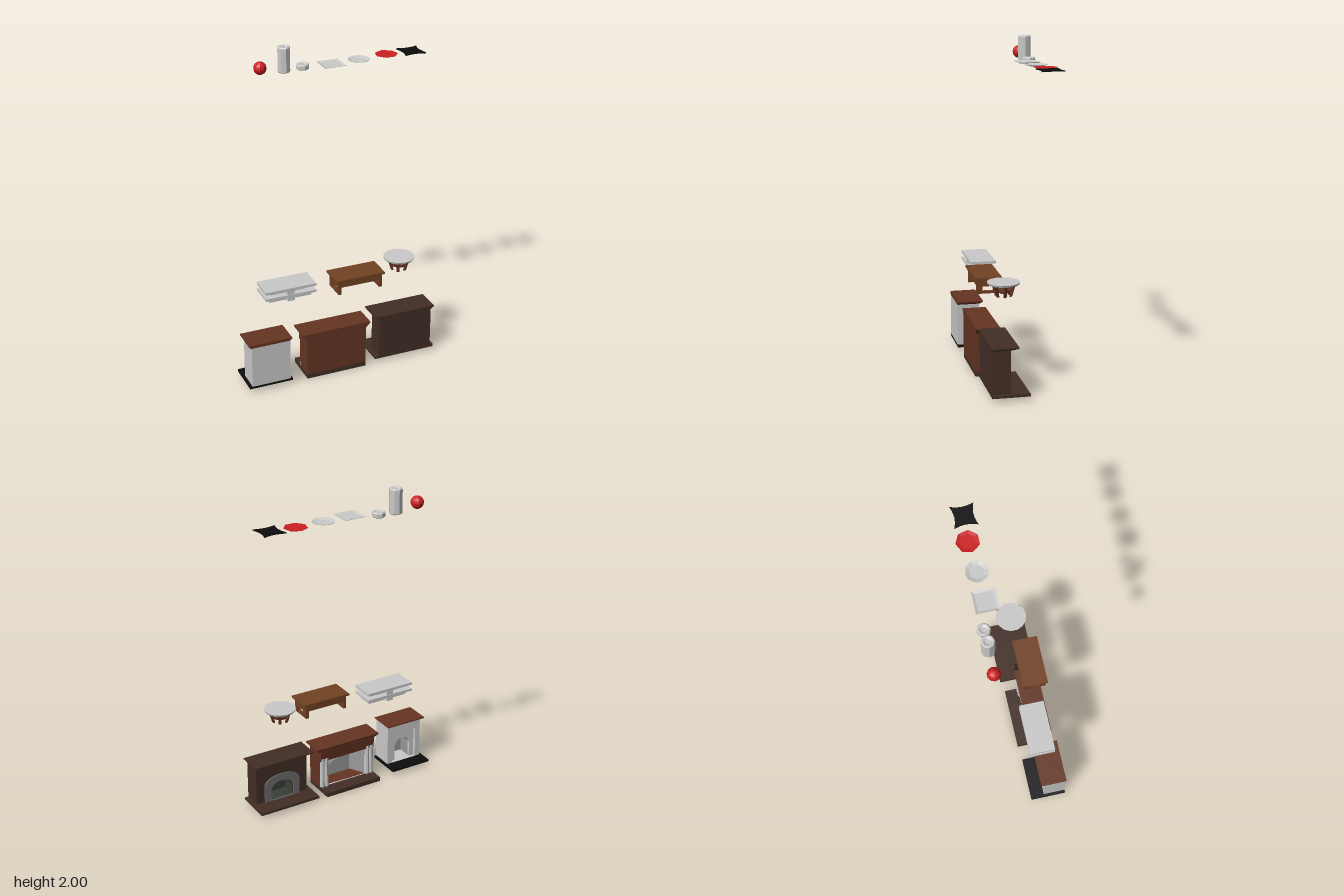
import * as THREE from 'three';

const mat = (name, color) => {
  const m = new THREE.MeshStandardMaterial({ color });
  m.name = name;
  return m;
};

export function createModel() {
  const root = new THREE.Group();
  root.name = 'furnitureSet';
  const pale = mat('paleGrey', 0xcacaca), red = mat('red', 0xcc2022), black = mat('black', 0x0d0d0d);
  const mahogany = mat('mahogany', 0x653423), darkWood = mat('darkWood', 0x422e25), oak = mat('oak', 0x724222);
  const stone = mat('stone', 0x6c6c6c), soot = mat('soot', 0x3a4038), midGrey = mat('midGrey', 0x9a9a9a);

  const group = (name) => {
    const g = new THREE.Group();
    g.name = name;
    root.add(g);
    return g;
  };
  // Adds a faceted mesh
  const add = (parent, name, geo, material) => {
    const g = geo.index ? geo.toNonIndexed() : geo;
    g.computeVertexNormals();
    const m = new THREE.Mesh(g, material);
    m.name = name;
    parent.add(m);
    return m;
  };
  // Box given by its limits
  const box = (p, name, m, x0, x1, y0, y1, z0, z1) => add(p, name,
    new THREE.BoxGeometry(x1 - x0, y1 - y0, z1 - z0).translate((x0 + x1) / 2, (y0 + y1) / 2, (z0 + z1) / 2), m);
  // Box whose bottom is drawn in at the sides and at the -z front
  const flare = (p, name, m, x0, x1, y0, y1, z0, z1, side, front) => {
    const g = new THREE.BoxGeometry(x1 - x0, y1 - y0, z1 - z0);
    const a = g.attributes.position;
    for (let i = 0; i < a.count; i++) {
      if (a.getY(i) > 0) continue;
      a.setX(i, a.getX(i) - Math.sign(a.getX(i)) * side);
      if (a.getZ(i) < 0) a.setZ(i, a.getZ(i) + front);
    }
    return add(p, name, g.translate((x0 + x1) / 2, (y0 + y1) / 2, (z0 + z1) / 2), m);
  };
  const rect = (x0, x1, y0, y1) => new THREE.Shape([
    new THREE.Vector2(x0, y0), new THREE.Vector2(x1, y0), new THREE.Vector2(x1, y1), new THREE.Vector2(x0, y1)]);
  // Doorway outline with an elliptical head
  const arch = (cx, half, y0, spring, rise) => {
    const s = new THREE.Shape();
    s.moveTo(cx - half, y0);
    s.lineTo(cx + half, y0);
    s.lineTo(cx + half, spring);
    s.absellipse(cx, spring, half, rise, 0, Math.PI, false, 0);
    s.closePath();
    return s;
  };
  // Panel from z0 to z1 with an optional opening
  const panel = (p, name, m, outer, hole, z0, z1) => {
    const s = outer.clone();
    if (hole) s.holes = [hole];
    return add(p, name, new THREE.ExtrudeGeometry(s, { depth: z1 - z0, bevelEnabled: false, curveSegments: 10 })
      .translate(0, 0, z0), m);
  };

  // Pale fireplace with stepped surround
  const a = group('paleFireplace');
  box(a, 'hearth', black, -0.63, -0.357, 0.028, 0.042, -0.005, 0.217);
  panel(a, 'body', pale, rect(-0.614, -0.37, 0.042, 0.305), rect(-0.58, -0.404, 0.043, 0.245), 0.08, 0.205);
  box(a, 'backWall', pale, -0.614, -0.37, 0.042, 0.305, 0.205, 0.217);
  panel(a, 'innerSurround', pale, rect(-0.58, -0.404, 0.042, 0.245), arch(-0.492, 0.055, 0.043, 0.14, 0.055), 0.1, 0.115);
  panel(a, 'fireboxLining', midGrey, arch(-0.492, 0.06, 0.042, 0.14, 0.06), arch(-0.492, 0.055, 0.043, 0.14, 0.055), 0.115, 0.2);
  box(a, 'fireboxBack', midGrey, -0.56, -0.424, 0.042, 0.21, 0.198, 0.204);
  flare(a, 'mantelMoulding', mahogany, -0.628, -0.359, 0.303, 0.317, 0.058, 0.217, 0.012, 0.02);
  box(a, 'mantelShelf', mahogany, -0.63, -0.357, 0.317, 0.324, 0.055, 0.217);

  // Wide fireplace with splayed firebox and columns
  const b = group('wideFireplace');
  const bx = -0.061;
  box(b, 'hearth', darkWood, -0.254, 0.132, 0, 0.028, -0.012, 0.2);
  const opening = () => arch(bx, 0.135, 0.029, 0.16, 0.05);
  panel(b, 'body', mahogany, rect(-0.254, 0.132, 0.028, 0.285), rect(bx - 0.15, bx + 0.15, 0.029, 0.22), 0.08, 0.19);
  box(b, 'backWall', mahogany, -0.254, 0.132, 0.028, 0.285, 0.19, 0.2);
  panel(b, 'archTrim', pale, rect(bx - 0.15, bx + 0.15, 0.028, 0.22), opening(), 0.074, 0.084);
  box(b, 'fireboxBack', midGrey, bx - 0.09, bx + 0.09, 0.028, 0.22, 0.178, 0.188);
  box(b, 'fireboxCeiling', midGrey, bx - 0.15, bx + 0.15, 0.212, 0.219, 0.084, 0.188);
  for (const s of [-1, 1]) {
    const wall = new THREE.Shape([[0.135, 0.084], [0.149, 0.084], [0.149, 0.188], [0.08, 0.188], [0.08, 0.18]]
      .map(([x, z]) => new THREE.Vector2(bx + s * x, -z)));
    add(b, 'fireboxSide', new THREE.ExtrudeGeometry(wall, { depth: 0.19, bevelEnabled: false })
      .rotateX(-Math.PI / 2).translate(0, 0.028, 0), midGrey);
    for (const x of [0.15, 0.177]) {
      add(b, 'column', new THREE.CylinderGeometry(0.016, 0.016, 0.2, 8)
        .translate(bx + s * x, 0.128, 0.078), pale);
    }
  }
  flare(b, 'hood', mahogany, -0.254, 0.132, 0.21, 0.285, 0.06, 0.085, 0, 0.008);
  flare(b, 'mantelMoulding', mahogany, -0.282, 0.16, 0.268, 0.298, 0.056, 0.2, 0.028, 0.02);
  box(b, 'mantelShelf', mahogany, -0.283, 0.161, 0.298, 0.306, 0.055, 0.2);

  // Dark fireplace with arched stone surround
  const c = group('darkFireplace');
  box(c, 'hearth', darkWood, 0.2, 0.6, 0.024, 0.04, -0.03, 0.192);
  const mouth = () => arch(0.402, 0.078, 0.041, 0.105, 0.06);
  panel(c, 'body', darkWood, rect(0.227, 0.577, 0.04, 0.305), mouth(), 0.08, 0.182);
  box(c, 'backWall', darkWood, 0.227, 0.577, 0.04, 0.305, 0.182, 0.192);
  panel(c, 'stoneSurround', stone, arch(0.402, 0.12, 0.04, 0.15, 0.06), mouth(), 0.072, 0.082);
  panel(c, 'fireboxLining', soot, mouth(), arch(0.402, 0.074, 0.042, 0.105, 0.056), 0.083, 0.18);
  box(c, 'fireboxBack', soot, 0.325, 0.479, 0.041, 0.165, 0.174, 0.181);
  flare(c, 'mantelMoulding', darkWood, 0.202, 0.598, 0.296, 0.31, 0.037, 0.192, 0.024, 0.035);
  box(c, 'mantelShelf', darkWood, 0.2, 0.6, 0.31, 0.318, 0.035, 0.192);

  // Pale two-tier table
  const t = group('tieredTable');
  box(t, 'top', pale, -0.498, -0.178, 0.61, 0.626, 0.01, 0.165);
  const ring = (name, x0, x1, z0, z1, w, y0, y1) => add(t, name, (() => {
    const s = rect(x0, x1, -z1, -z0);
    s.holes = [rect(x0 + w, x1 - w, -z1 + w, -z0 - w)];
    return new THREE.ExtrudeGeometry(s, { depth: y1 - y0, bevelEnabled: false }).rotateX(-Math.PI / 2).translate(0, y0, 0);
  })(), pale);
  ring('shelf', -0.498, -0.178, 0.01, 0.165, 0.04, 0.568, 0.583);
  ring('plinth', -0.466, -0.2, 0.04, 0.135, 0.02, 0.54, 0.57);
  for (const z of [0.014, 0.139]) box(t, 'leg', pale, -0.36, -0.316, 0.54, 0.612, z, z + 0.022);

  // Oak table with framed ends
  const o = group('oakTable');
  box(o, 'top', oak, -0.07, 0.245, 0.626, 0.638, 0.06, 0.219);
  for (const z of [0.072, 0.193]) box(o, 'apron', oak, -0.05, 0.226, 0.585, 0.627, z, z + 0.014);
  for (const x of [-0.054, 0.21]) {
    box(o, 'endRail', oak, x, x + 0.02, 0.583, 0.627, 0.07, 0.209);
    box(o, 'footRail', oak, x, x + 0.02, 0.54, 0.555, 0.07, 0.209);
    for (const z of [0.07, 0.174]) box(o, 'leg', oak, x, x + 0.02, 0.54, 0.585, z, z + 0.035);
  }

  // Round table with inward-leaning legs
  const r = group('roundTable');
  r.position.set(0.4, 0, 0.086);
  add(r, 'top', new THREE.CylinderGeometry(0.097, 0.092, 0.012, 14).translate(0, 0.647, 0), pale);
  const legShape = new THREE.Shape([[0.038, 0.569], [0.05, 0.569], [0.062, 0.61], [0.075, 0.642], [0.052, 0.642], [0.046, 0.61]]
    .map(([x, y]) => new THREE.Vector2(x, y)));
  for (let i = 0; i < 6; i++) {
    const leg = add(r, 'leg', new THREE.ExtrudeGeometry(legShape, { depth: 0.016, bevelEnabled: false })
      .translate(0, 0, -0.008), mahogany);
    leg.rotation.y = i * Math.PI / 3;
  }
  add(r, 'brace', new THREE.CylinderGeometry(0.048, 0.046, 0.012, 12).translate(0, 0.602, 0), mahogany);

  // Small tableware, turned from profiles
  const turned = (name, m, x, z, y, sides, turn, pts) => {
    const g = new THREE.LatheGeometry(pts.map(([px, py]) => new THREE.Vector2(px, py)), sides);
    add(root, name, g.rotateY(turn), m).position.set(x, y, z);
  };
  add(root, 'redBall', new THREE.SphereGeometry(0.039, 10, 8), red).position.set(-0.378, 1.887, -0.177);
  const candle = (name, x, y, h) => {
    turned(name, pale, x, -0.176, y, 8, 0, [[0, 0], [0.033, 0], [0.039, 0.005], [0.039, h - 0.006],
      [0.034, h], [0.026, h], [0.016, h - 0.006], [0, h - 0.006]]);
    add(root, 'wick', new THREE.CylinderGeometry(0.003, 0.003, 0.012, 6), pale).position.set(x, y + h - 0.004, -0.176);
  };
  candle('tallCandle', -0.232, 1.845, 0.153);
  candle('tealight', -0.117, 1.847, 0.032);
  turned('squarePlate', pale, 0.045, -0.131, 1.864, 4, Math.PI / 4,
    [[0, 0], [0.07, 0], [0.094, 0.006], [0.094, 0.008], [0.074, 0.003], [0, 0.003]]);
  turned('roundPlate', pale, 0.222, -0.141, 1.863, 10, 0,
    [[0, 0], [0.04, 0], [0.067, 0.008], [0.067, 0.01], [0.042, 0.003], [0, 0.003]]);
  turned('redPlate', red, 0.405, -0.153, 1.869, 7, Math.PI,
    [[0, 0], [0.045, 0], [0.069, 0.005], [0.069, 0.007], [0.046, 0.003], [0, 0.003]]);

  // Black dish with drawn-out corners
  const star = new THREE.Shape();
  const k = 0.067, d = 0.04;
  star.moveTo(-k, -k);
  star.quadraticCurveTo(0, -d, k, -k);
  star.quadraticCurveTo(d, 0, k, k);
  star.quadraticCurveTo(0, d, -k, k);
  star.quadraticCurveTo(-d, 0, -k, -k);
  add(root, 'blackDish', new THREE.ExtrudeGeometry(star, { depth: 0.007, bevelEnabled: false, curveSegments: 6 })
    .rotateX(-Math.PI / 2), black).position.set(0.561, 1.873, -0.142);

  return root;
}
